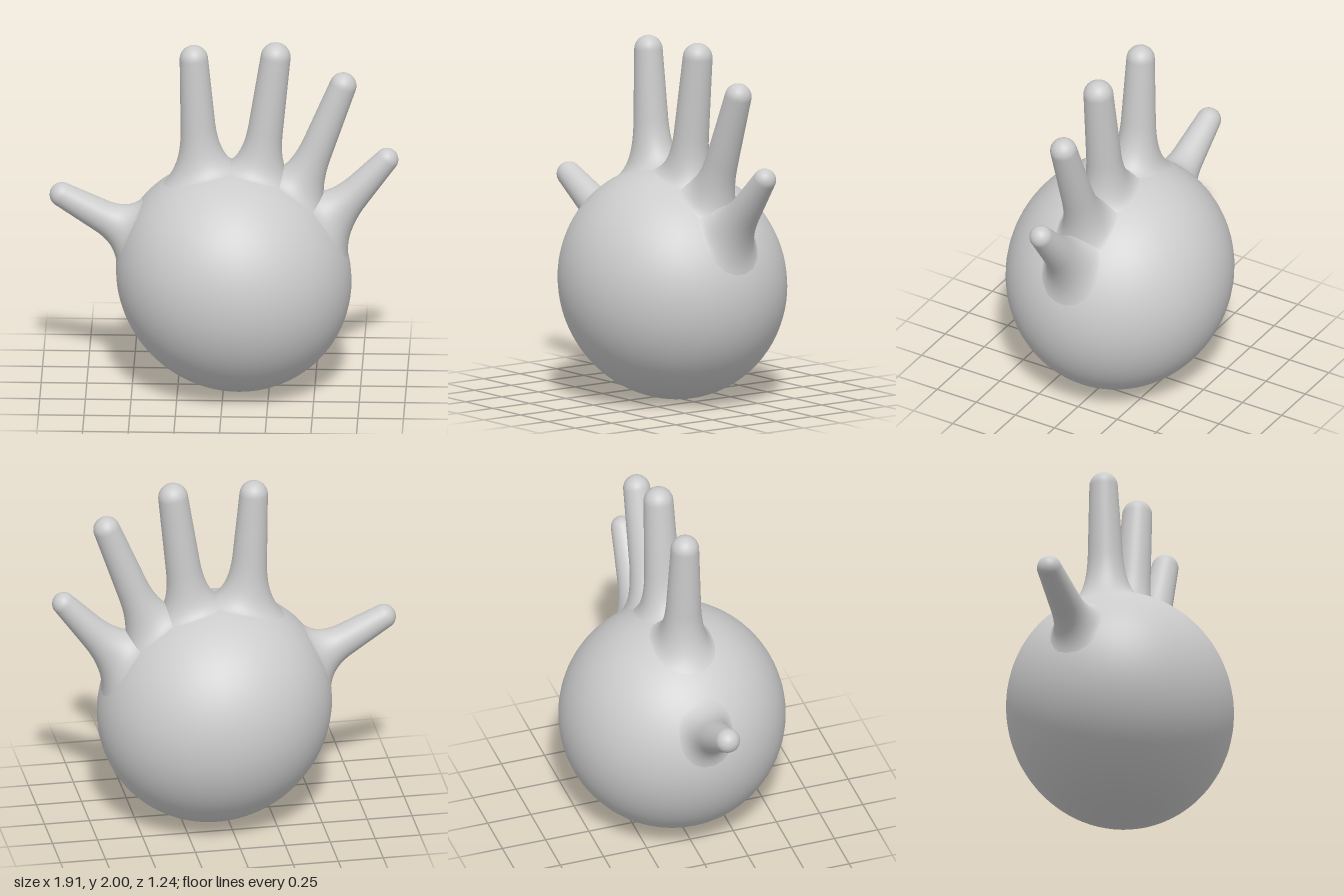
import * as THREE from 'three';

const material = new THREE.MeshStandardMaterial({ color: 0xcccccc });

// Palm: a unit sphere stretched, slightly sheared and lifted
const palmMatrix = new THREE.Matrix4().makeTranslation(0.055, 0.642, 0)
  .multiply(new THREE.Matrix4().set(1, 0, 0, 0, -0.05, 1, 0, 0, 0, 0, 1, 0, 0, 0, 0, 1))
  .multiply(new THREE.Matrix4().makeScale(0.645, 0.642, 0.62));
const palmInverse = palmMatrix.clone().invert();

// Distance along dir from a point to where the line leaves the palm
function palmExit(point, dir) {
  const o = point.clone().applyMatrix4(palmInverse);
  const d = point.clone().add(dir).applyMatrix4(palmInverse).sub(o);
  const a = d.dot(d), b = o.dot(d), c = o.dot(o) - 1;
  return (-b + Math.sqrt(Math.max(0, b * b - a * c))) / a;
}

// Tapered round-ended finger whose root spreads tangentially onto the palm
function makeFinger({ name, base, tip, r0, r1, flare, lift }) {
  const SIDES = 40, FILLET = 12, SHAFT = 6, CAP = 10;
  const start = new THREE.Vector3(...base, 0);
  const dir = new THREE.Vector3(...tip, 0).sub(start);
  const length = dir.length();
  dir.normalize();
  const u = new THREE.Vector3(dir.y, -dir.x, 0);
  const v = new THREE.Vector3().crossVectors(dir, u);
  const capStart = length - r1;
  const radiusAt = s => THREE.MathUtils.lerp(r0, r1, Math.max(0, s) / capStart);

  const columns = [];
  for (let j = 0; j < SIDES; j++) {
    const angle = (j / SIDES) * Math.PI * 2;
    const out = u.clone().multiplyScalar(Math.cos(angle)).addScaledVector(v, Math.sin(angle));
    const exitAt = r => palmExit(start.clone().addScaledVector(out, r), dir);
    // the root spreads more sideways, towards its neighbours
    const spread = r0 + flare * (0.5 + 0.5 * Math.cos(angle) ** 2);
    const wall = exitAt(r0);
    const top = wall + lift;
    const fillet = new THREE.QuadraticBezierCurve(
      new THREE.Vector2(spread, exitAt(spread) - 0.004),
      new THREE.Vector2(r0, wall),
      new THREE.Vector2(radiusAt(top), top));
    const profile = fillet.getPoints(FILLET);
    for (let i = 1; i <= SHAFT; i++) {
      const s = THREE.MathUtils.lerp(top, capStart, i / SHAFT);
      profile.push(new THREE.Vector2(radiusAt(s), s));
    }
    for (let i = 1; i <= CAP; i++) {
      const t = (i / CAP) * Math.PI / 2;
      profile.push(new THREE.Vector2(r1 * Math.cos(t), capStart + r1 * Math.sin(t)));
    }
    columns.push(profile.map(p => start.clone().addScaledVector(dir, p.y).addScaledVector(out, p.x)));
  }

  const rows = columns[0].length;
  const positions = [], index = [];
  columns.forEach((column, j) => {
    column.forEach(p => positions.push(p.x, p.y, p.z));
    const a = j * rows, b = ((j + 1) % SIDES) * rows;
    for (let i = 0; i < rows - 1; i++) {
      index.push(a + i, b + i, b + i + 1, a + i, b + i + 1, a + i + 1);
    }
  });
  const geometry = new THREE.BufferGeometry();
  geometry.setAttribute('position', new THREE.Float32BufferAttribute(positions, 3));
  geometry.setIndex(index);
  geometry.computeVertexNormals();
  const mesh = new THREE.Mesh(geometry, material);
  mesh.name = name;
  return mesh;
}

export function createModel() {
  const hand = new THREE.Group();
  hand.name = 'hand';

  const palm = new THREE.Mesh(new THREE.SphereGeometry(1, 64, 48).applyMatrix4(palmMatrix), material);
  palm.name = 'palm';
  hand.add(palm);

  const fingers = [
    { name: 'thumb', base: [-0.56, 0.92], tip: [-0.945, 1.135], r0: 0.1, r1: 0.068, flare: 0.14, lift: 0.16 },
    { name: 'indexFinger', base: [-0.12, 1.15], tip: [-0.168, 1.98], r0: 0.112, r1: 0.078, flare: 0.15, lift: 0.24 },
    { name: 'middleFinger', base: [0.19, 1.2], tip: [0.295, 2.0], r0: 0.106, r1: 0.082, flare: 0.14, lift: 0.24 },
    { name: 'ringFinger', base: [0.415, 1.14], tip: [0.68, 1.825], r0: 0.1, r1: 0.074, flare: 0.15, lift: 0.26 },
    { name: 'littleFinger', base: [0.58, 0.97], tip: [0.935, 1.375], r0: 0.108, r1: 0.064, flare: 0.16, lift: 0.24 },
  ];
  fingers.forEach(f => hand.add(makeFinger(f)));
  return hand;
}
